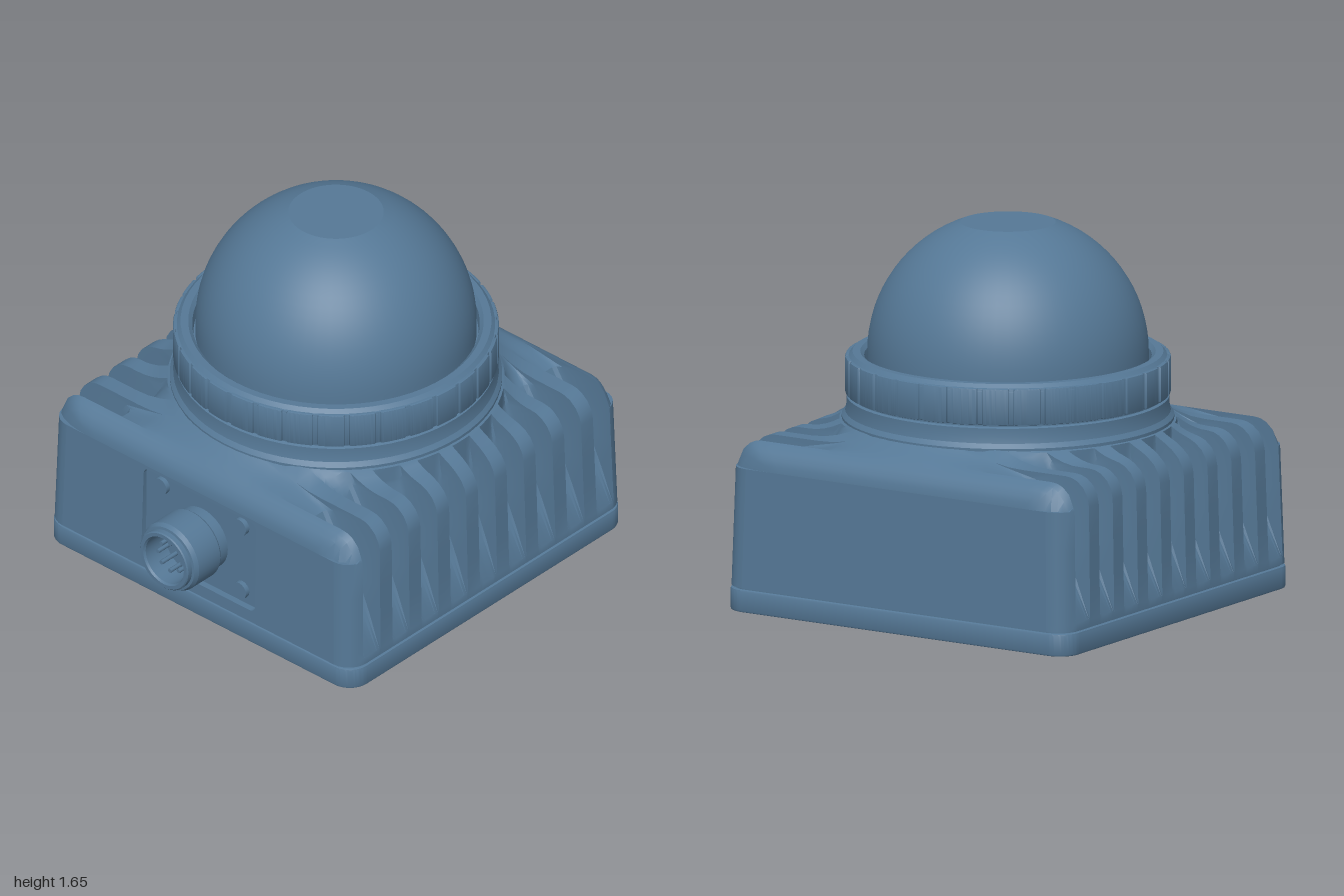
import * as THREE from 'three';
import { toCreasedNormals } from 'three/addons/utils/BufferGeometryUtils.js';

const CX = 0.105;      // centre of the housing in x
const HALF = 0.885;    // half width of the housing
const EDGE = 0.12;     // rounding of the upper edges
const CORNER = 0.1;    // rounding of the vertical corners
const LOW = 0.108;     // underside of the housing

const clamp = (v) => Math.min(1, Math.max(0, v));
const lerp = (a, b, t) => a + (b - a) * t;

// Draft of the housing walls
function taper(geo) {
  const p = geo.attributes.position;
  for (let i = 0; i < p.count; i++) {
    const f = 1 - 0.03 * (p.getY(i) - LOW);
    p.setXYZ(i, CX + (p.getX(i) - CX) * f, p.getY(i), p.getZ(i) * f);
  }
  return geo;
}

// Half depth of the housing at offset dx from its centre
function halfDepth(dx) {
  const a = Math.max(0, CORNER - (HALF - Math.abs(dx)));
  return HALF - CORNER + Math.sqrt(Math.max(0, CORNER ** 2 - a * a));
}

// Height of the housing: rounded edges and a flare up to the neck
function topHeight(dx, z) {
  const s = clamp((0.87 - Math.hypot(dx, z)) / 0.17);
  const a = Math.max(0, EDGE - (HALF - Math.abs(dx)));
  const b = Math.max(0, EDGE - (halfDepth(dx) - z));
  const r = Math.min(EDGE, Math.hypot(a, b));
  return 0.75 + 0.075 * s * s - EDGE + Math.sqrt(EDGE ** 2 - r * r);
}

// Front half of a cross-section; t blends from the fin to the slot outline
function halfSection(dx, k, t) {
  const w = halfDepth(dx);
  const end = Math.abs(k) === 4 ? 0.39 : Math.sqrt(0.74 ** 2 - dx * dx);
  const fin = [LOW, 0.14, 0.3, 0.45, 0.63].map((y) => [w, y]);
  for (const a of [20, 40, 60, 75, 90]) {
    const z = w - EDGE * (1 - Math.cos(a * Math.PI / 180));
    fin.push([z, topHeight(dx, z)]);
  }
  const inner = Math.min(w - EDGE, end);
  for (let i = 1; i <= 5; i++) {
    const z = lerp(w - EDGE, inner, i / 5);
    fin.push([z, topHeight(dx, z)]);
  }
  const ramp = Math.max(0.72, end), mid = Math.max(0.57, end);
  const slot = fin.map(([z, y], i) => {
    if (i < 2) return [z, y];
    if (i === 2) return [lerp(w, ramp, 0.5), 0.295];
    if (i < 9) return [lerp(ramp, mid, (i - 3) / 6), lerp(0.45, 0.71, (i - 3) / 6)];
    return [lerp(mid, inner, (i - 9) / 5), lerp(0.71, topHeight(dx, inner), (i - 9) / 5)];
  });
  const pts = fin.map((p, i) => [lerp(p[0], slot[i][0], t), lerp(p[1], slot[i][1], t)]);
  for (let i = 1; i <= 6; i++) {
    const z = inner * (1 - i / 6);
    pts.push([z, topHeight(dx, z)]);
  }
  return pts;
}

// Finned shell lofted along x
function finnedShell() {
  const ends = [0, 0.003, 0.012, 0.03, 0.055];
  const stations = ends.map((e) => [-HALF + e, -4, 0]);
  const cut = [[-0.055, 0], [-0.055, 0.8], [-0.047, 0.94], [-0.03, 1], [0, 1],
    [0.03, 1], [0.047, 0.94], [0.055, 0.8], [0.055, 0]];
  for (let k = -4; k <= 4; k++) {
    for (const [o, t] of cut) stations.push([k * 0.187 + o, k, t]);
  }
  for (const e of ends.slice().reverse()) stations.push([HALF - e, 4, 0]);

  const pos = [], idx = [];
  let n = 0;
  stations.forEach(([dx, k, t]) => {
    const half = halfSection(dx, k, t);
    const back = half.slice(0, -1).reverse().map(([z, y]) => [-z, y]);
    const loop = [...half, ...back];
    n = loop.length;
    for (const [z, y] of loop) pos.push(CX + dx, y, z);
  });
  for (let i = 0; i < stations.length - 1; i++) {
    for (let j = 0; j < n - 1; j++) {
      const a = i * n + j, b = a + n;
      idx.push(a, b, b + 1, a, b + 1, a + 1);
    }
  }
  const geo = new THREE.BufferGeometry();
  geo.setAttribute('position', new THREE.Float32BufferAttribute(pos, 3));
  geo.setIndex(idx);
  return toCreasedNormals(taper(geo), 0.5);
}

function roundedRect(w, h, r, Type = THREE.Shape) {
  const s = new Type();
  s.absarc(w - r, h - r, r, 0, Math.PI / 2);
  s.absarc(-w + r, h - r, r, Math.PI / 2, Math.PI);
  s.absarc(-w + r, -h + r, r, Math.PI, Math.PI * 1.5);
  s.absarc(w - r, -h + r, r, Math.PI * 1.5, Math.PI * 2);
  s.closePath();
  return s;
}

// Extrude a plan shape upright between two heights
function slab(shape, y0, y1, bevel) {
  const geo = new THREE.ExtrudeGeometry(shape, {
    depth: y1 - y0 - 2 * bevel, curveSegments: 12, bevelEnabled: bevel > 0,
    bevelThickness: bevel, bevelSize: bevel, bevelOffset: -bevel, bevelSegments: 2,
  });
  geo.rotateX(Math.PI / 2).translate(0, y1 - bevel, 0);
  return toCreasedNormals(geo, 0.5);
}

function lathe(points, segments = 64) {
  const geo = new THREE.LatheGeometry(points.map(([r, y]) => new THREE.Vector2(r, y)), segments);
  return toCreasedNormals(geo, 0.28);
}

export function createModel() {
  const model = new THREE.Group();
  const blue = new THREE.MeshStandardMaterial({ color: 0x557896 });
  blue.name = 'steel blue';
  const add = (name, geo, x = 0, y = 0, z = 0) => {
    const m = new THREE.Mesh(geo, blue);
    m.name = name;
    m.position.set(x, y, z);
    model.add(m);
    return m;
  };

  // Base plate with mounting holes
  const plate = roundedRect(HALF, 0.89, CORNER);
  const hole = (x, z, r) => plate.holes.push(new THREE.Path().absarc(x, z, r, 0, Math.PI * 2, true));
  for (const sx of [-1, 1]) {
    for (const sz of [-1, 1]) {
      hole(sx * 0.795, sz * 0.8, 0.045);
      hole(sx * 0.73, sz * 0.57, 0.022);
      add('baseScrew', new THREE.CylinderGeometry(0.036, 0.036, 0.06, 16), CX + sx * 0.795, 0.045, sz * 0.8);
    }
  }
  hole(0, 0.62, 0.022);
  hole(0, -0.67, 0.034);
  add('basePlate', slab(plate, 0, 0.1, 0.01), CX);
  add('gasket', slab(roundedRect(HALF - 0.012, 0.873, CORNER), 0.09, 0.115, 0), CX);

  // Housing: finned shell and its two end walls
  add('finnedHousing', finnedShell());
  for (const side of [-1, 1]) {
    const w = HALF - CORNER;
    const wall = new THREE.Shape([[-w, LOW], [w, LOW], [w, 0.63], [-w, 0.63]].map((p) => new THREE.Vector2(...p)));
    if (side < 0) {
      const opening = roundedRect(0.33, 0.225, 0.03).getPoints(6).map((p) => new THREE.Vector2(p.x, p.y + 0.39));
      wall.holes.push(new THREE.Path(opening));
    }
    const geo = new THREE.ExtrudeGeometry(wall, { depth: 0.03, bevelEnabled: false });
    geo.rotateY(Math.PI / 2).translate(side < 0 ? CX - HALF : CX + HALF - 0.03, 0, 0);
    add('endWall', toCreasedNormals(taper(geo), 0.5));
  }

  // Connector panel, screws and plug
  add('connectorPanel', new THREE.BoxGeometry(0.02, 0.5, 0.72), -0.738, 0.39, 0);
  for (const sy of [-1, 1]) {
    for (const sz of [-1, 1]) {
      const screw = new THREE.CylinderGeometry(0.04, 0.04, 0.03, 16).rotateZ(Math.PI / 2);
      add('panelScrew', screw, -0.755, 0.395 + sy * 0.165, sz * 0.23);
    }
  }
  const plug = lathe([[0.145, 0.73], [0.145, 0.8], [0.155, 0.805], [0.162, 0.815], [0.162, 0.95],
    [0.152, 0.97], [0.14, 0.972], [0.14, 0.995], [0.135, 1], [0.118, 1], [0.112, 0.99],
    [0.112, 0.86], [0, 0.86]], 40);
  add('connector', plug.rotateZ(Math.PI / 2), 0, 0.395, 0);
  for (let i = 0; i < 8; i++) {
    const a = i * Math.PI / 4;
    const pin = new THREE.CylinderGeometry(0.01, 0.01, 0.1, 8).rotateZ(Math.PI / 2);
    add('connectorPin', pin, -0.91, 0.395 + 0.07 * Math.cos(a), 0.07 * Math.sin(a));
  }

  // Neck between housing and clamp ring
  add('neck', lathe([[0.715, 0.7], [0.715, 0.81], [0.7, 0.83], [0.694, 0.86], [0.694, 0.895],
    [0.68, 0.9], [0.68, 0.925], [0.6, 0.925]]), CX);

  // Clamp ring with shallow grip notches
  const ring = new THREE.Shape();
  const grips = 32, step = Math.PI * 2 / grips;
  for (let i = 0; i < grips; i++) {
    ring.absarc(0, 0, 0.7, i * step, (i + 0.82) * step);
    ring.absarc(0, 0, 0.691, (i + 0.84) * step, (i + 0.98) * step);
  }
  ring.closePath();
  ring.holes.push(new THREE.Path().absarc(0, 0, 0.64, 0, Math.PI * 2, true));
  add('gripRing', slab(ring, 0.908, 1.07, 0.008), CX);
  add('ringLip', lathe([[0.692, 1.055], [0.688, 1.066], [0.668, 1.086], [0.635, 1.086],
    [0.618, 1.07], [0.612, 1.03], [0.59, 1.03]]), CX);

  // Dome with a flat crown
  const dome = [[0.605, 0.98]];
  const crown = Math.acos(0.205 / 0.605);
  for (let i = 0; i <= 16; i++) {
    const a = crown * i / 16;
    dome.push([0.605 * Math.cos(a), 1.085 + 0.605 * Math.sin(a)]);
  }
  dome.push([0, 1.085 + 0.605 * Math.sin(crown)]);
  add('dome', lathe(dome), CX);

  return model;
}
